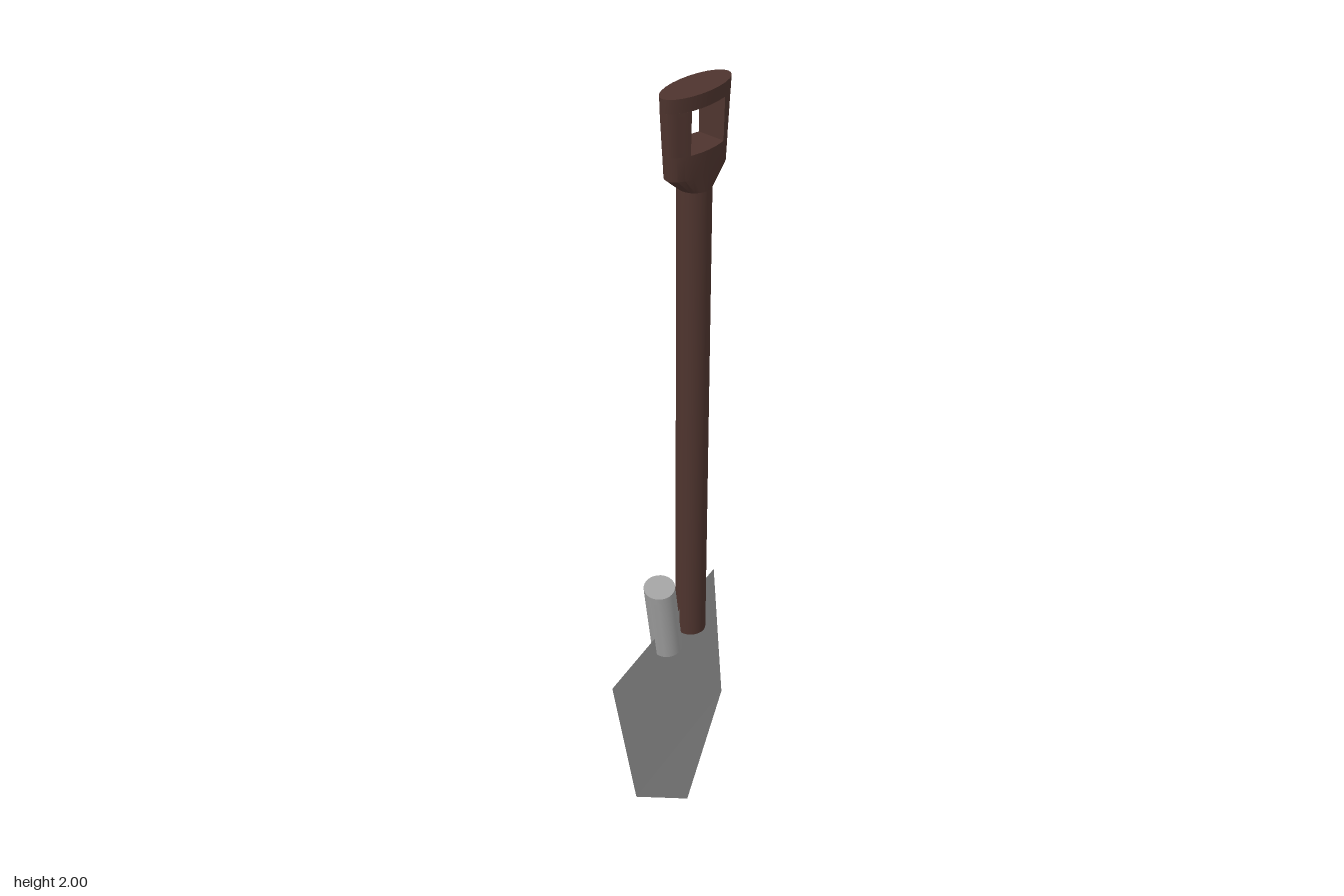
import * as THREE from 'three';
import { toCreasedNormals } from 'three/addons/utils/BufferGeometryUtils.js';

const SIDES = 24;

// Closed solid from convex cross-sections, listed bottom to top
function loft(rings) {
  const pos = [];
  const n = rings[0].length;
  const tri = (...points) => points.forEach((p) => pos.push(p.x, p.y, p.z));
  for (let r = 0; r < rings.length - 1; r++) {
    for (let i = 0; i < n; i++) {
      const j = (i + 1) % n;
      const [lo, hi] = [rings[r], rings[r + 1]];
      tri(lo[i], hi[i], lo[j]);
      tri(lo[j], hi[i], hi[j]);
    }
  }
  const [bottom, top] = [rings[0], rings[rings.length - 1]];
  for (let i = 1; i < n - 1; i++) {
    tri(bottom[0], bottom[i], bottom[i + 1]);
    tri(top[0], top[i + 1], top[i]);
  }
  const geometry = new THREE.BufferGeometry();
  geometry.setAttribute('position', new THREE.Float32BufferAttribute(pos, 3));
  return toCreasedNormals(geometry, 0.5);
}

// Elliptical cross-section; slope tilts its plane in x
function ellipse(x, y, rx, rz, slope = 0) {
  return Array.from({ length: SIDES }, (_, i) => {
    const a = (i / SIDES) * Math.PI * 2;
    const dx = Math.cos(a) * rx;
    return new THREE.Vector3(x + dx, y + dx * slope, Math.sin(a) * rz);
  });
}

// The part of an ellipse beyond a cut at half-width cut, on one side
function ellipseSide(x, y, rx, rz, cut, side) {
  const limit = Math.acos(cut / rx);
  return Array.from({ length: 11 }, (_, i) => {
    const a = (side > 0 ? 0 : Math.PI) + limit * (i / 5 - 1);
    return new THREE.Vector3(x + Math.cos(a) * rx, y, Math.sin(a) * rz);
  });
}

export function createModel() {
  const wood = new THREE.MeshStandardMaterial({ color: 0x4e342e });
  wood.name = 'dark wood';
  const steel = new THREE.MeshStandardMaterial({ color: 0x9e9e9e, side: THREE.DoubleSide });
  steel.name = 'grey steel';

  const model = new THREE.Group();
  model.name = 'spade';
  const add = (parent, name, geometry, material) => {
    const mesh = new THREE.Mesh(geometry, material);
    mesh.name = name;
    parent.add(mesh);
    return mesh;
  };

  // Shaft
  const shaftX = 0.069;
  const shaft = new THREE.CylinderGeometry(0.037, 0.037, 1.19, SIDES);
  add(model, 'shaft', shaft, wood).position.set(shaftX, 1.203, 0);

  // Grip: flaring oval with a square hand hole
  const grip = new THREE.Group();
  grip.name = 'grip';
  model.add(grip);
  const gripX = 0.07;
  const holeBottom = 1.876;
  const holeTop = 1.97;
  const holeHalf = 0.049;
  const flare = (y) => {
    const t = (y - 1.823) / 0.177;
    return [gripX, y, 0.084 + 0.013 * t, 0.039 + 0.002 * t];
  };
  add(grip, 'gripBase', loft([
    ellipse(shaftX, 1.785, 0.037, 0.037),
    ellipse(...flare(1.823)),
    ellipse(...flare(holeBottom)),
  ]), wood);
  for (const side of [-1, 1]) {
    add(grip, side > 0 ? 'leftGripPost' : 'rightGripPost', loft(
      [holeBottom, holeTop].map((y) => ellipseSide(...flare(y), holeHalf, side)),
    ), wood);
  }
  add(grip, 'gripTop', loft([ellipse(...flare(holeTop)), ellipse(...flare(2))]), wood);

  // Slanted socket
  add(model, 'socket', loft([
    ellipse(-0.016, 0.598, 0.034, 0.04, 0.3),
    ellipse(-0.042, 0.794, 0.034, 0.04, 0.28),
  ]), steel);

  // Pointed blade, folded slightly between its lower corners
  const corners = [
    [-0.207, 0.583, 0], // upper right
    [-0.133, 0.16, 0.001], // lower right
    [0.063, 0, 0], // tip
    [0.203, 0.29, -0.008], // lower left
    [0.16, 0.727, -0.006], // upper left
  ];
  const faces = [0, 1, 4, 1, 3, 4, 1, 2, 3];
  const blade = new THREE.BufferGeometry();
  blade.setAttribute('position',
    new THREE.Float32BufferAttribute(faces.flatMap((i) => corners[i]), 3));
  blade.computeVertexNormals();
  add(model, 'blade', blade, steel);

  return model;
}
